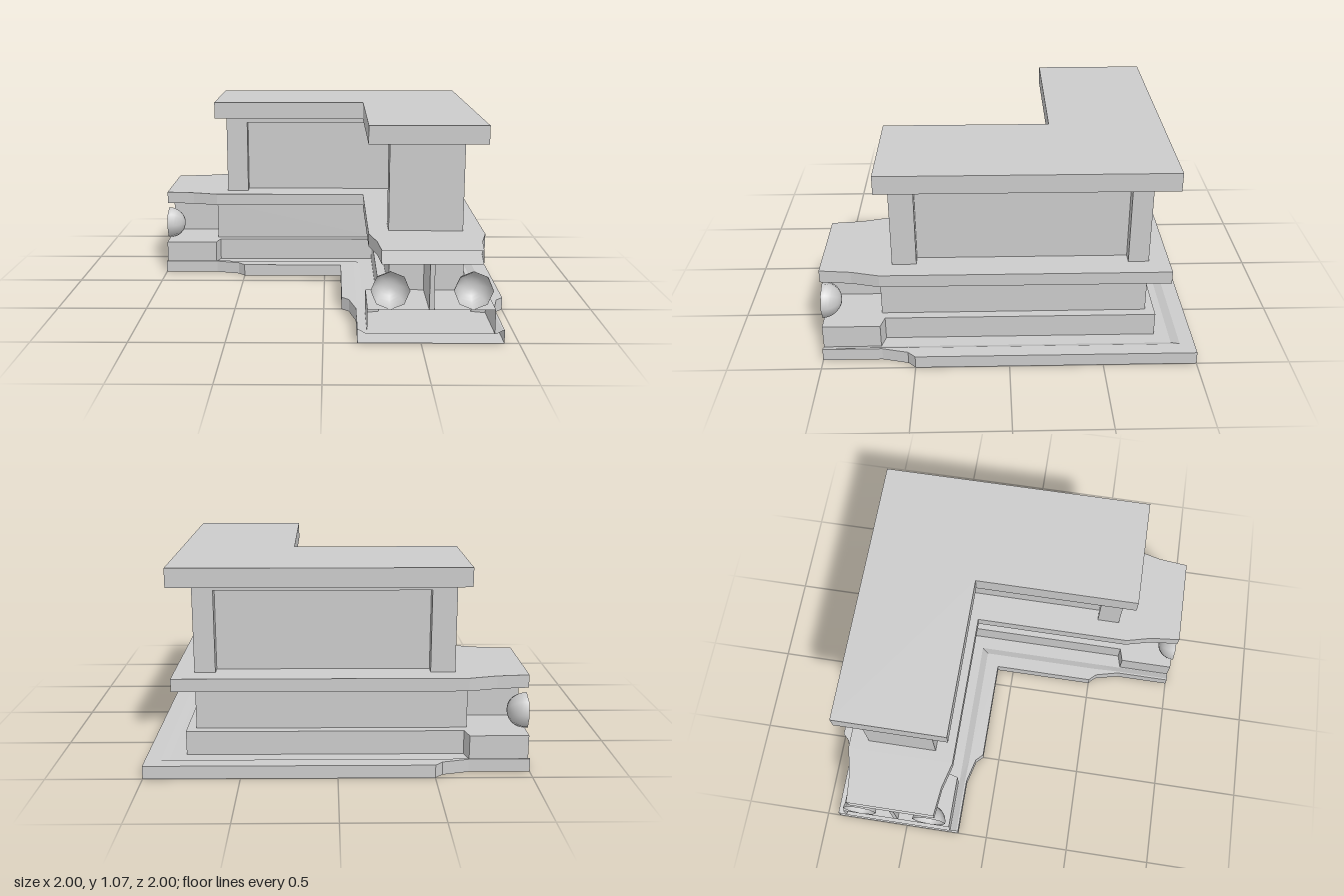
import * as THREE from 'three';

const C = 0.55; // distance of each arm's centre line from the middle
const material = new THREE.MeshStandardMaterial({ color: 0xcccccc, flatShading: true, side: THREE.DoubleSide });
const smooth = new THREE.MeshStandardMaterial({ color: 0xcccccc, side: THREE.DoubleSide });

// Rectangular cross-section, counter-clockwise: u across the arm (outer side positive), y up
const rect = (h, y0, y1) => [[-h, y0], [h, y0], [h, y1], [-h, y1]];

// Sweeps cross-sections round the mitred corner. The stations run from the
// corner to the arm's end and are mirrored to make both arms.
function cornerSweep(name, cornerSection, stations, capped) {
  const rings = [
    ...[...stations].reverse().map(([t, s]) => s.map(([u, y]) => [-t, y, -(C + u)])),
    cornerSection.map(([u, y]) => [C + u, y, -(C + u)]),
    ...stations.map(([t, s]) => s.map(([u, y]) => [C + u, y, t])),
  ];
  const pos = [];
  const tri = (a, b, c) => pos.push(...a, ...b, ...c);
  const n = cornerSection.length;
  for (let i = 0; i < rings.length - 1; i++) {
    for (let j = 0; j < n; j++) {
      const k = (j + 1) % n;
      const a = rings[i][j], b = rings[i][k], c = rings[i + 1][k], d = rings[i + 1][j];
      tri(a, b, c);
      tri(a, c, d);
    }
  }
  if (capped) {
    const first = rings[0], last = rings[rings.length - 1];
    for (let j = 1; j < n - 1; j++) {
      tri(first[0], first[j + 1], first[j]);
      tri(last[0], last[j], last[j + 1]);
    }
  }
  const geo = new THREE.BufferGeometry();
  geo.setAttribute('position', new THREE.Float32BufferAttribute(pos, 3));
  geo.computeVertexNormals();
  const mesh = new THREE.Mesh(geo, material);
  mesh.name = name;
  return mesh;
}

function box(name, w, h, d, x, y, z) {
  const mesh = new THREE.Mesh(new THREE.BoxGeometry(w, h, d), material);
  mesh.position.set(x, y, z);
  mesh.name = name;
  return mesh;
}

export function createModel() {
  const model = new THREE.Group();
  model.name = 'cornerWall';

  // Base tray with a raised, bevelled rim; open at the ends
  const tray = (h, r) => [[-h, 0], [h, 0], [h, 0.07], [r, 0.07],
    [0.33, 0.05], [-0.33, 0.05], [-r, 0.07], [-h, 0.07]];
  model.add(cornerSweep('base', tray(0.45, 0.37), [
    [0.5, tray(0.45, 0.37)], [0.54, tray(0.41, 0.37)],
    [0.68, tray(0.375, 0.365)], [1, tray(0.375, 0.365)],
  ], false));

  // Plinth, wider at the ends
  const plinth = (h) => rect(h, 0.05, 0.18);
  model.add(cornerSweep('plinth', plinth(0.25), [
    [0.67, plinth(0.25)], [0.69, plinth(0.325)], [1, plinth(0.325)],
  ], false));

  // Lower wall
  model.add(cornerSweep('lowerWall', rect(0.2, 0.18, 0.42), [[0.69, rect(0.2, 0.18, 0.42)]], true));

  // Ledge narrowing towards the ends
  const ledge = (h) => rect(h, 0.42, 0.49);
  model.add(cornerSweep('ledge', ledge(0.31), [
    [0.68, ledge(0.31)], [0.83, ledge(0.272)], [1, ledge(0.255)],
  ], false));

  // Upper wall: recessed panels, lintel and cap
  model.add(cornerSweep('panels', rect(0.135, 0.49, 0.97), [[0.6, rect(0.135, 0.49, 0.97)]], true));
  model.add(cornerSweep('lintel', rect(0.2, 0.93, 0.97), [[0.6, rect(0.2, 0.93, 0.97)]], true));
  model.add(cornerSweep('cap', rect(0.315, 0.97, 1.07), [[0.68, rect(0.315, 0.97, 1.07)]], true));
  model.add(box('cornerPost', 0.11, 0.48, 0.11, 0.695, 0.73, -0.695));

  // Post and thin web at the end of each arm
  model.add(box('frontPost', 0.4, 0.48, 0.13, C, 0.73, 0.555));
  model.add(box('sidePost', 0.13, 0.48, 0.4, -0.555, 0.73, -C));
  model.add(box('frontWeb', 0.025, 0.24, 0.31, C, 0.3, 0.845));
  model.add(box('sideWeb', 0.31, 0.24, 0.025, -0.845, 0.3, -C));

  // Hollow half-round sockets, opening outwards
  const bowl = new THREE.SphereGeometry(0.1, 8, 8, 0, Math.PI * 2, 0, Math.PI / 2);
  for (const u of [-0.21, 0.21]) {
    const front = new THREE.Mesh(bowl, smooth);
    front.name = 'frontSocket';
    front.rotation.x = -Math.PI / 2;
    front.position.set(C + u, 0.28, 1);
    const side = new THREE.Mesh(bowl, smooth);
    side.name = 'sideSocket';
    side.rotation.z = -Math.PI / 2;
    side.position.set(-1, 0.28, -(C + u));
    model.add(front, side);
  }
  return model;
}
